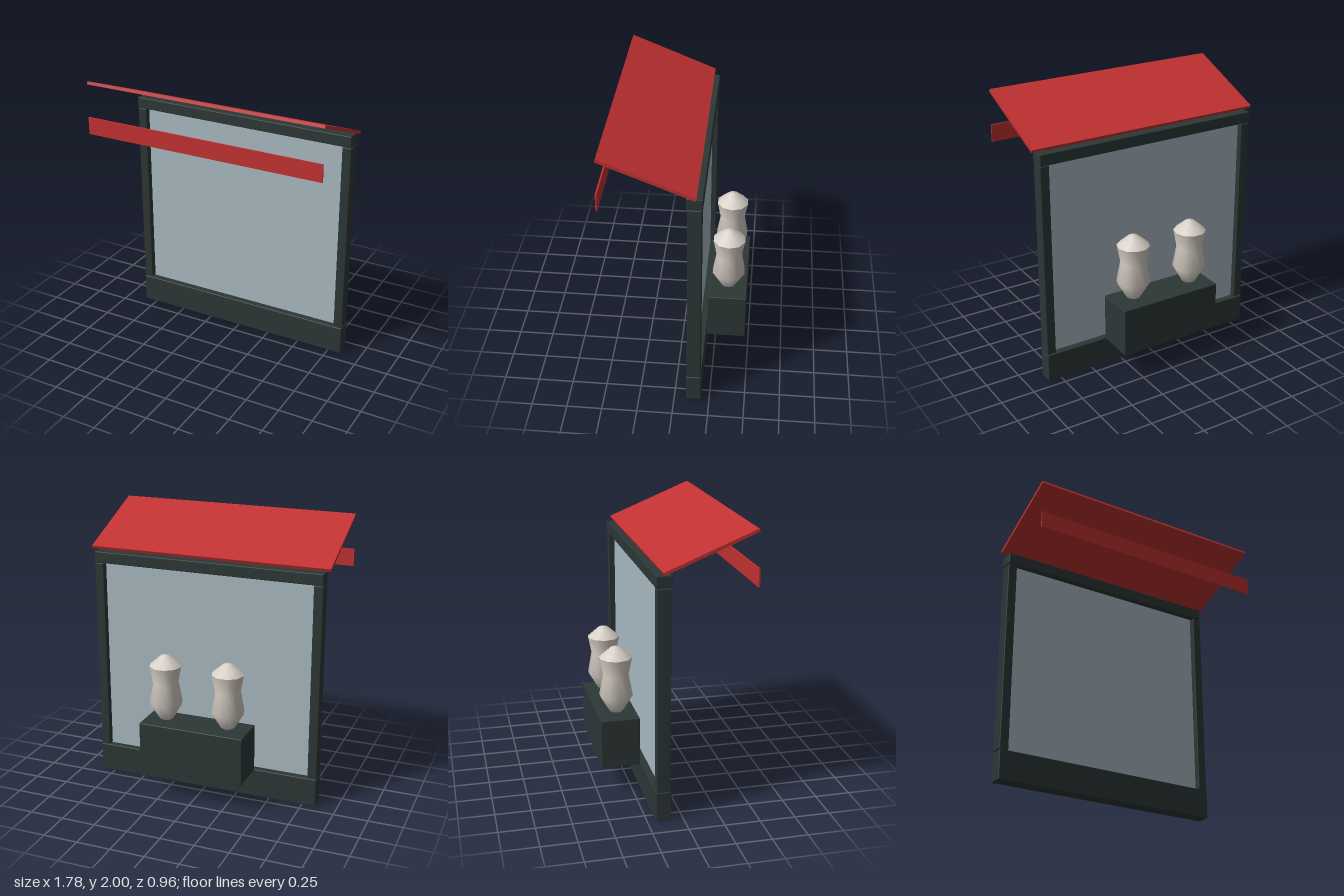
import * as THREE from 'three';
import { RoundedBoxGeometry } from 'three/addons/geometries/RoundedBoxGeometry.js';

const mat = (name, color) => Object.assign(new THREE.MeshStandardMaterial({ color }), { name });

export function createModel() {
  const group = new THREE.Group();
  const frame = mat('dark frame', 0x2c3736);
  const red = mat('awning red', 0xc23132);
  const glass = mat('pale glass', 0xa8b9c1);
  const ivory = mat('ivory', 0xd6cec5);

  const add = (name, geometry, material, x, y, z, parent = group) => {
    const mesh = new THREE.Mesh(geometry, material);
    mesh.name = name;
    mesh.position.set(x, y, z);
    parent.add(mesh);
    return mesh;
  };
  const rounded = (w, h, d) => new RoundedBoxGeometry(w, h, d, 1, 0.006);

  // Window frame
  add('base', rounded(1.7, 0.212, 0.106), frame, 0, 0.106, -0.138);
  add('topBeam', rounded(1.7, 0.082, 0.106), frame, 0, 1.68, -0.138);
  for (const s of [-1, 1]) {
    add(s > 0 ? 'leftPost' : 'rightPost', rounded(0.067, 1.42, 0.096), frame, s * 0.817, 1.925 / 2 - 0.037, -0.138);
  }
  add('windowPane', new THREE.BoxGeometry(1.57, 1.43, 0.009), glass, 0, 0.925, -0.138);

  // Sloping awning that rises to the front, with a separate hanging valance
  const awning = add('awning', new THREE.BoxGeometry(1.776, 0.022, 0.667), red, 0, 1.866, 0.16);
  awning.rotation.x = -Math.atan2(0.25, 0.617);
  add('valance', new THREE.BoxGeometry(1.776, 0.124, 0.011), red, 0, 1.681, 0.475);

  // Display plinth
  add('plinth', rounded(0.78, 0.355, 0.278), frame, 0, 0.393, -0.339);

  // Ten-sided display figures, with a crease between body and cap
  const lathe = (points) => new THREE.LatheGeometry(
    points.map(([r, y]) => new THREE.Vector2(r, y)), 10, Math.PI / 2);
  const body = lathe([[0, 0.577], [0.038, 0.58], [0.052, 0.59], [0.12, 0.705], [0.092, 0.86], [0.117, 0.987]]);
  const cap = lathe([[0.117, 0.987], [0.036, 1.058], [0, 1.067]]);
  for (const s of [-1, 1]) {
    const figure = new THREE.Group();
    figure.name = s > 0 ? 'leftFigure' : 'rightFigure';
    figure.position.set(s * 0.236, 0, -0.34);
    add('figureBody', body, ivory, 0, 0, 0, figure);
    add('figureCap', cap, ivory, 0, 0, 0, figure);
    group.add(figure);
  }
  return group;
}
